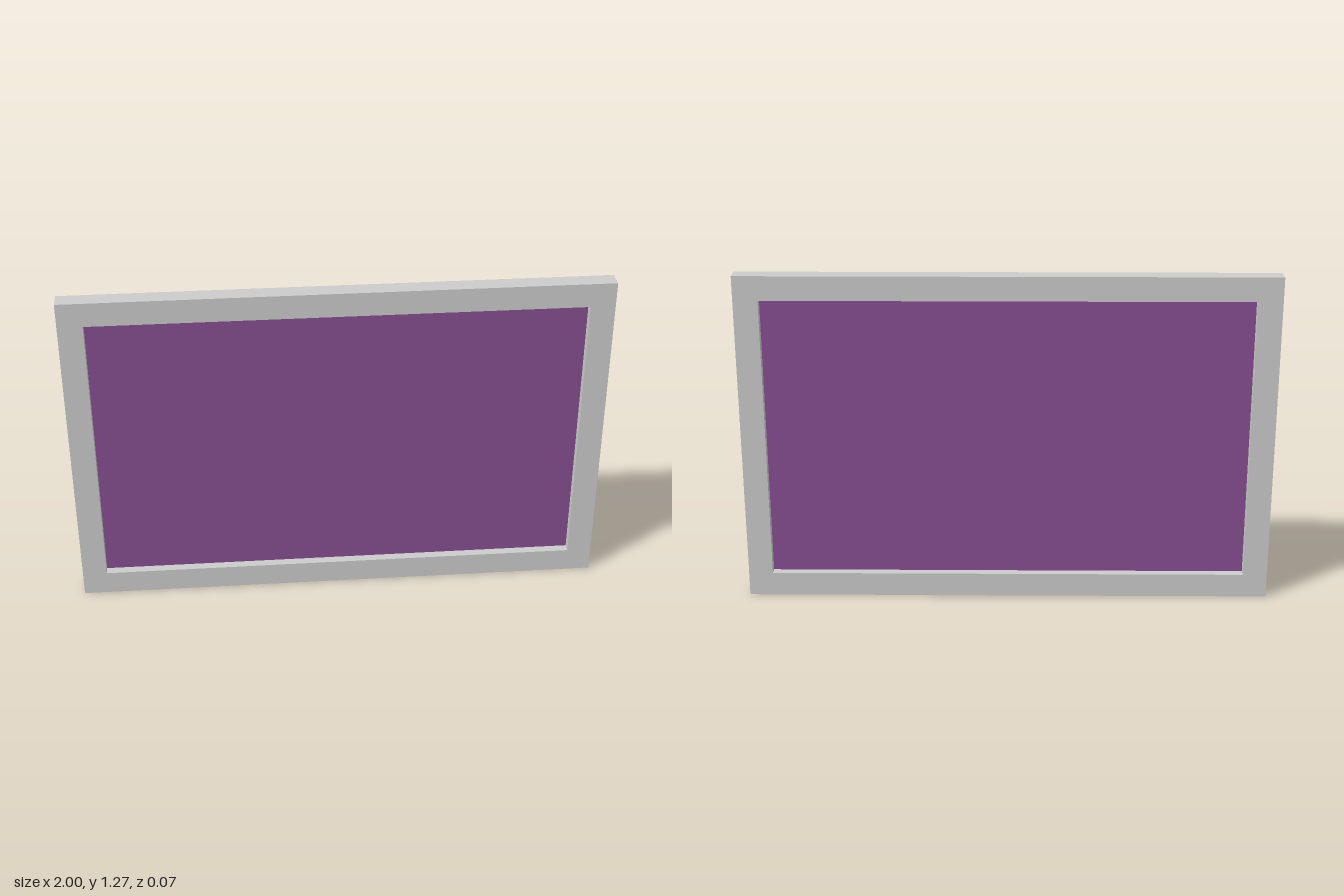
import * as THREE from 'three';

const WIDTH = 2, HEIGHT = 1.273, DEPTH = 0.066, BORDER = 0.092;

// Counter-clockwise rectangle centred on the origin
function rectangle(PathType, w, h) {
  return new PathType([[-1, -1], [1, -1], [1, 1], [-1, 1]]
    .map(([x, y]) => new THREE.Vector2(x * w / 2, y * h / 2)));
}

export function createModel() {
  const group = new THREE.Group();
  group.name = 'framedPanel';
  const innerW = WIDTH - 2 * BORDER, innerH = HEIGHT - 2 * BORDER;

  // Square-edged frame with a rectangular opening
  const outline = rectangle(THREE.Shape, WIDTH, HEIGHT);
  outline.holes.push(rectangle(THREE.Path, innerW, innerH));
  const frame = new THREE.Mesh(
    new THREE.ExtrudeGeometry(outline, { depth: DEPTH, bevelEnabled: false })
      .translate(0, HEIGHT / 2, -DEPTH / 2),
    new THREE.MeshStandardMaterial({ color: 0xcccccc })
  );
  frame.name = 'frame';

  // Thin pane set midway through the frame's depth
  const pane = new THREE.Mesh(
    new THREE.PlaneGeometry(innerW, innerH).translate(0, HEIGHT / 2, 0),
    new THREE.MeshStandardMaterial({ color: 0x874e91, side: THREE.DoubleSide })
  );
  pane.name = 'pane';

  group.add(frame, pane);
  return group;
}
